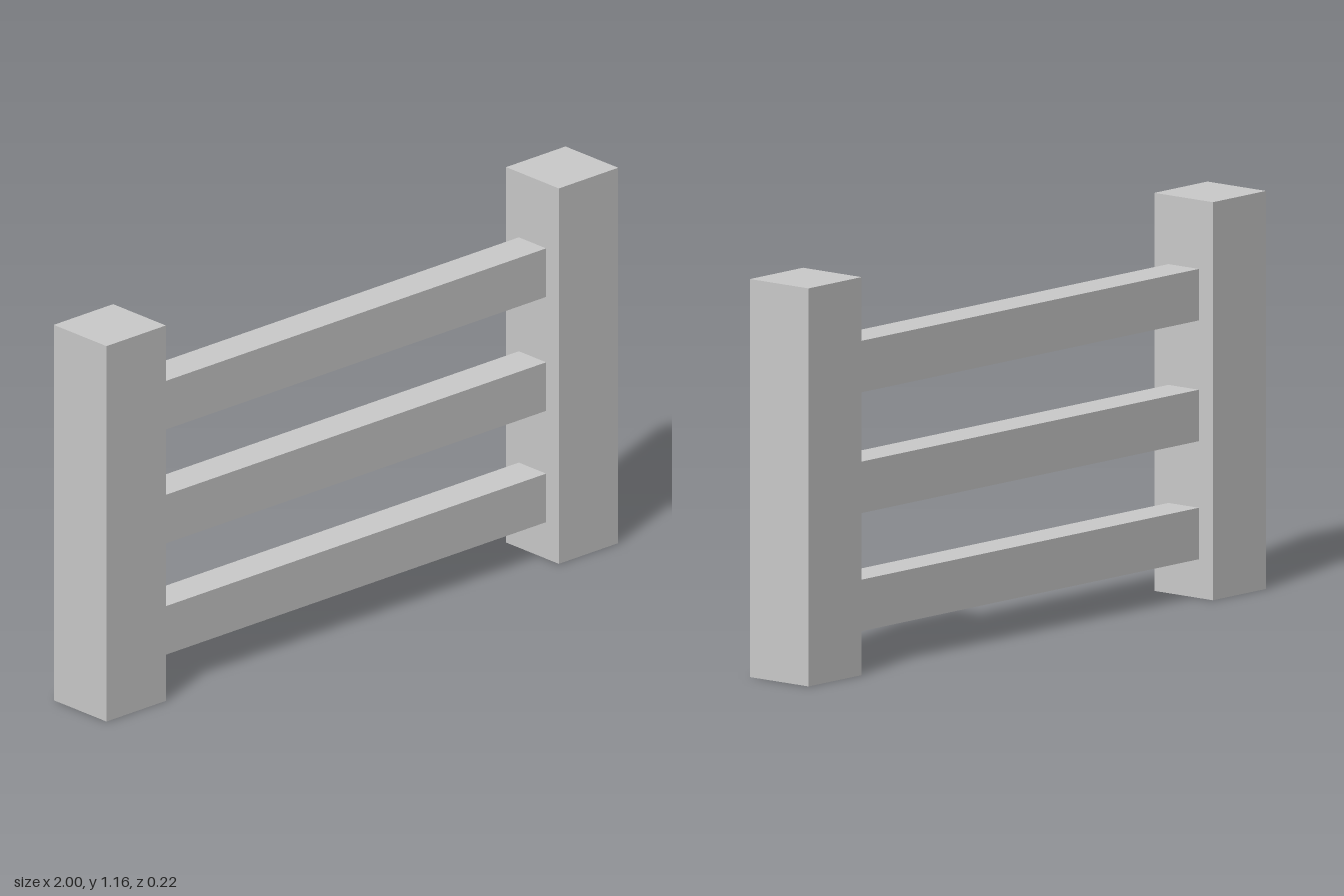
import * as THREE from 'three';

const material = new THREE.MeshStandardMaterial({ color: 0xcccccc, flatShading: true });

function addBox(parent, name, [w, h, d], x, y) {
  const mesh = new THREE.Mesh(new THREE.BoxGeometry(w, h, d), material);
  mesh.name = name;
  mesh.position.set(x, y, 0);
  parent.add(mesh);
}

export function createModel() {
  const fence = new THREE.Group();
  fence.name = 'fence';

  // Square end posts
  const postWidth = 0.232, postHeight = 1.16, postDepth = 0.222;
  for (const [name, side] of [['leftPost', 1], ['rightPost', -1]]) {
    addBox(fence, name, [postWidth, postHeight, postDepth], side * (1 - postWidth / 2), postHeight / 2);
  }

  // Horizontal rails spanning between the posts
  const railLength = 2 - 2 * postWidth;
  const rails = { lowerRail: 0.188, middleRail: 0.532, upperRail: 0.884 };
  for (const [name, y] of Object.entries(rails)) {
    addBox(fence, name, [railLength, 0.15, 0.115], 0, y);
  }

  return fence;
}
